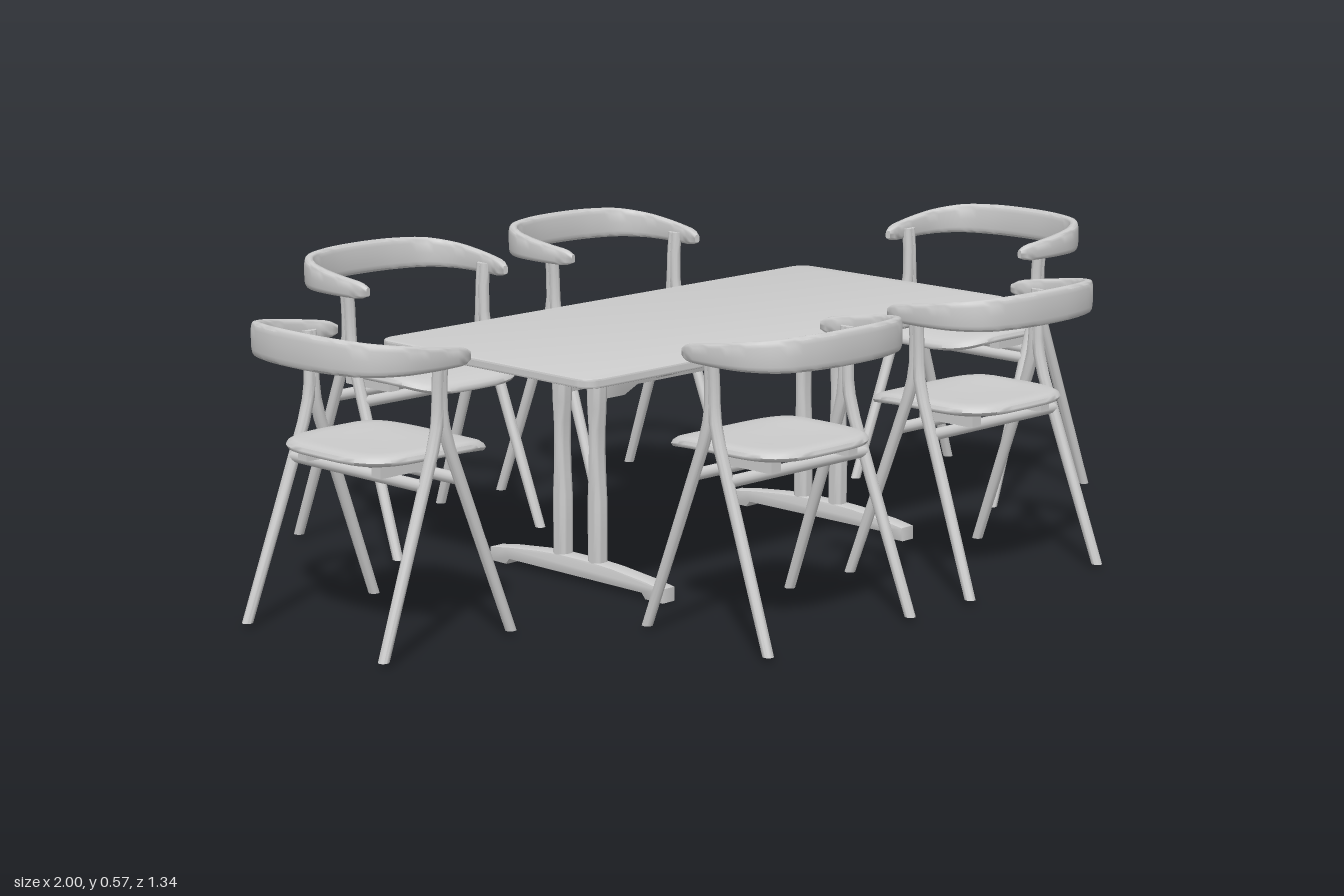
import * as THREE from 'three';
import { toCreasedNormals } from 'three/addons/utils/BufferGeometryUtils.js';

const material = new THREE.MeshStandardMaterial({ color: 0xcccccc });

function add(parent, name, geometry, x = 0, y = 0, z = 0) {
  const mesh = new THREE.Mesh(geometry, material);
  mesh.name = name;
  mesh.position.set(x, y, z);
  parent.add(mesh);
  return mesh;
}

// Skin over a list of rings (each a list of Vector3, counter-clockwise about the sweep), capped at both ends
function loft(rings, crease = 0.8) {
  const n = rings[0].length, last = (rings.length - 1) * n;
  const pts = rings.flat(), index = [];
  for (let j = 0; j < rings.length - 1; j++) {
    for (let i = 0; i < n; i++) {
      const a = j * n + i, b = j * n + (i + 1) % n;
      index.push(a, b, b + n, a, b + n, a + n);
    }
  }
  const centre = ring => ring.reduce((s, p) => s.add(p), new THREE.Vector3()).divideScalar(n);
  const c0 = pts.length, c1 = c0 + 1;
  const all = [...pts, centre(rings[0]), centre(rings[rings.length - 1])];
  for (let i = 0; i < n; i++) {
    const k = (i + 1) % n;
    index.push(c0, k, i, c1, last + i, last + k);
  }
  const g = new THREE.BufferGeometry().setFromPoints(all);
  g.setIndex(index);
  return toCreasedNormals(g, crease);
}

// Level ring about +y; power below 1 squares the outline
function ring(cx, cy, cz, rx, rz, n = 16, power = 1) {
  const bend = v => Math.sign(v) * Math.abs(v) ** power;
  return Array.from({ length: n }, (_, i) => {
    const a = (i / n) * Math.PI * 2;
    return new THREE.Vector3(cx + rx * bend(Math.sin(a)), cy, cz + rz * bend(Math.cos(a)));
  });
}

// Flat outline extruded and centred on its thickness
function plate(points, depth, bevel = 0.003) {
  const shape = new THREE.Shape(points.map(p => new THREE.Vector2(...p)));
  const g = new THREE.ExtrudeGeometry(shape, {
    depth: depth - 2 * bevel, bevelThickness: bevel, bevelSize: bevel, bevelOffset: -bevel, bevelSegments: 2
  });
  return toCreasedNormals(g.translate(0, 0, bevel - depth / 2), 0.6);
}

const mirrored = half => [...half, ...half.map(([x, y]) => [-x, y]).reverse()];

function seatGeometry() {
  const layers = [[0.3, 0.331], [0.6, 0.331], [0.9, 0.332], [0.98, 0.336], [1, 0.342],
    [0.98, 0.348], [0.93, 0.352], [0.75, 0.352], [0.5, 0.35], [0.25, 0.349]];
  const rings = layers.map(([s, y]) => ring(0, y, 0.025, 0.148 * s, 0.155 * s, 48, 0.55));
  // front edge rolls downward
  rings.flat().forEach(p => {
    const t = Math.max(0, (p.z - 0.07) / 0.11);
    p.y -= 0.018 * t * t;
  });
  return loft(rings, 1);
}

// Curved band that is tall behind and lower at the arm tips
function backrestGeometry() {
  const plan = [[0.178, 0.065], [0.186, 0.02], [0.189, -0.04], [0.181, -0.095], [0.15, -0.142], [0.085, -0.166]];
  const path = [...plan, [0, -0.173], ...plan.map(([x, z]) => [-x, z]).reverse()];
  const curve = new THREE.CatmullRomCurve3(path.map(([x, z]) => new THREE.Vector3(x, 0, z)));
  const rings = [], steps = 56;
  for (let j = 0; j <= steps; j++) {
    const u = j / steps, p = curve.getPointAt(u), t = curve.getTangentAt(u);
    const side = new THREE.Vector3(0, 1, 0).cross(t).normalize();
    const top = 0.533 + 0.035 * (0.065 - p.z) / 0.238, bottom = 0.503;
    const end = Math.min(j, steps - j);
    const scale = end === 0 ? 0.55 : end === 1 ? 0.9 : 1;
    const half = (top - bottom) / 2 * scale;
    rings.push(ring(0, 0, 0, half, 0.01 * scale, 16, 0.55).map(q =>
      p.clone().addScaledVector(side, q.z).setY((top + bottom) / 2 + q.x)));
  }
  return loft(rings, 0.9);
}

// Slanted leg that bends into the short upright under the arm
function chairLegGeometry(side, dir) {
  const path = [[0.187, 0.008, 0.149, 0.0105], [0.18, 0.2, 0.078, 0.0115], [0.175, 0.36, 0.019, 0.012],
    [0.174, 0.4, 0.008, 0.012], [0.173, 0.43, 0.004, 0.012], [0.174, 0.48, 0.003, 0.012], [0.178, 0.525, 0.003, 0.012]];
  return loft(path.map(([x, y, z, r]) => ring(side * x, y, dir * z, r * 0.95, r, 14)));
}

// Chair facing local +z, with its leg joint over the origin
function createChair() {
  const chair = new THREE.Group();
  add(chair, 'seat', seatGeometry());
  add(chair, 'backrest', backrestGeometry());
  for (const side of [-1, 1]) {
    add(chair, 'frontLeg', chairLegGeometry(side, 1));
    add(chair, 'rearLeg', chairLegGeometry(side, -1));
    add(chair, 'seatRail', new THREE.BoxGeometry(0.024, 0.024, 0.13), side * 0.1, 0.322, -0.02);
  }
  for (const z of [0.042, -0.042]) {
    const bar = add(chair, 'crossbar', new THREE.CylinderGeometry(0.011, 0.011, 0.352, 14), 0, 0.3, z);
    bar.rotation.z = Math.PI / 2;
  }
  return chair;
}

function createTable() {
  const table = new THREE.Group();
  table.name = 'table';

  // Rounded rectangular top
  const w = 0.585, d = 0.286, r = 0.035, corners = [];
  [[1, 1], [-1, 1], [-1, -1], [1, -1]].forEach(([sx, sz], q) => {
    for (let i = 0; i <= 6; i++) {
      const a = (q + i / 6) * Math.PI / 2;
      corners.push([sx * (w - r) + r * Math.cos(a), sz * (d - r) + r * Math.sin(a)]);
    }
  });
  add(table, 'tableTop', plate(corners, 0.018, 0.004), 0, 0.451, 0).rotation.x = -Math.PI / 2;

  const foot = mirrored([[0.19, 0], [0.234, 0], [0.234, 0.027], [0.19, 0.034], [0.1, 0.043], [0.04, 0.046]]);
  foot.push([-0.18, 0.011], [0.18, 0.011]);
  const bearer = mirrored([[0.255, 0.443], [0.255, 0.434], [0.225, 0.424], [0.17, 0.418], [0.06, 0.416]]);
  const legProfile = [[0.02, 0.0165], [0.06, 0.0165], [0.11, 0.0175], [0.16, 0.0175], [0.2, 0.014],
    [0.26, 0.011], [0.3, 0.012], [0.34, 0.016], [0.38, 0.018], [0.435, 0.018]];

  // Trestle at each end
  for (const x of [-0.334, 0.334]) {
    add(table, 'trestleFoot', plate(foot, 0.036), x).rotation.y = Math.PI / 2;
    add(table, 'topBearer', plate(bearer, 0.036), x).rotation.y = Math.PI / 2;
    for (const z of [-0.047, 0.047]) {
      add(table, 'tableLeg', loft(legProfile.map(([y, rz]) => ring(0, y, 0, 0.0175, rz, 24, 0.8))), x, 0, z);
    }
  }

  // Pair of long rails with deeper ends
  const rail = mirrored([[0.334, 0.443], [0.334, 0.355], [0.27, 0.355], [0.235, 0.371]]);
  for (const z of [-0.047, 0.047]) add(table, 'longRail', plate(rail, 0.018, 0.002), 0, 0, z);
  return table;
}

export function createModel() {
  const model = new THREE.Group();
  model.name = 'diningSet';

  const table = createTable();
  table.position.x = 0.02;
  model.add(table);

  // x, z and turn of each chair around the table
  const places = [
    [-0.287, 0.489, Math.PI], [0.254, 0.489, Math.PI],
    [-0.287, -0.489, 0], [0.254, -0.489, 0],
    [0.814, 0.003, -Math.PI / 2], [-0.817, 0.003, Math.PI / 2]
  ];
  places.forEach(([x, z, turn], i) => {
    const chair = createChair();
    chair.name = `chair${i + 1}`;
    chair.position.set(x, 0, z);
    chair.rotation.y = turn;
    model.add(chair);
  });
  return model;
}
